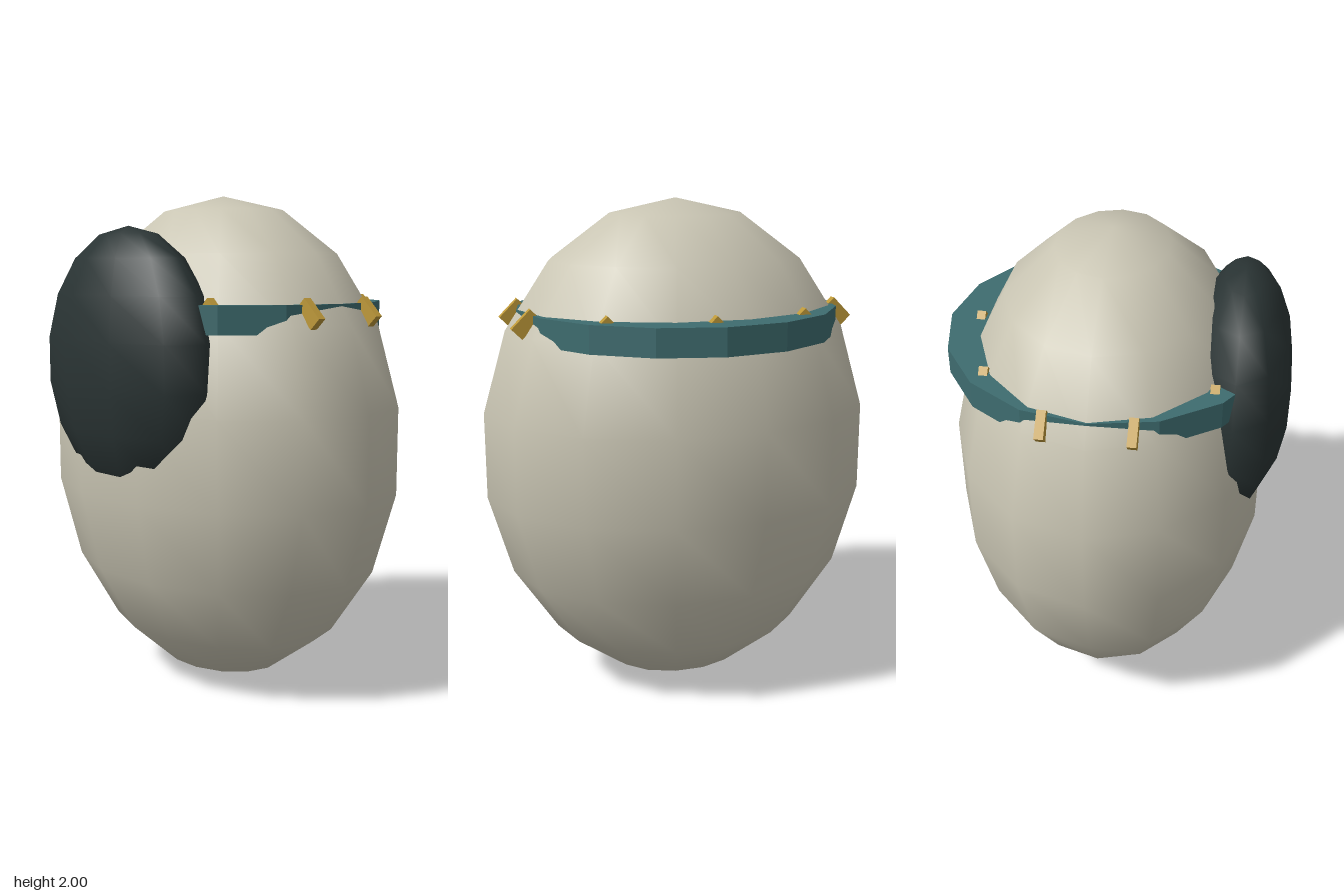
import * as THREE from 'three';

const material = (name, color, extra = {}) => {
  const m = new THREE.MeshStandardMaterial({ color, ...extra });
  m.name = name;
  return m;
};

export function createModel() {
  const cream = material('cream', 0xc9c5b3);
  const charcoal = material('charcoal', 0x2a3434);
  const teal = material('teal', 0x3e6c6f, { flatShading: true });
  const gold = material('gold', 0xbd9839, { flatShading: true });

  const group = new THREE.Group();
  const add = (name, geometry, mat, x, y, z) => {
    const mesh = new THREE.Mesh(geometry, mat);
    mesh.name = name;
    mesh.position.set(x, y, z);
    group.add(mesh);
    return mesh;
  };

  // Stretched low-poly sphere with a column of vertices at the front and back
  const ellipsoid = (rx, ry, rz, sides) =>
    new THREE.SphereGeometry(1, sides, 9).rotateY(Math.PI / 2).scale(rx, ry, rz);

  const cx = 0.025;
  add('eggBody', ellipsoid(0.635, 1, 0.8, 14), cream, cx, 1, 0);
  add('sidePatch', ellipsoid(0.219, 0.52, 0.447, 10), charcoal, -0.47, 1.35, 0);

  // Band around the upper body
  add('band', new THREE.CylinderGeometry(0.645, 0.645, 0.107, 16), teal, cx, 1.526, 0);

  // Ten studs spaced around the band, leaning outward to front and back
  const studGeometry = new THREE.BoxGeometry(0.034, 0.104, 0.057);
  for (let i = 0; i < 10; i++) {
    const a = (i * Math.PI) / 5;
    const z = 0.65 * Math.sin(a);
    const lean = Math.abs(z) < 0.01 ? 0 : Math.sign(z);
    const stud = add('stud', studGeometry, gold,
      cx + 0.523 * Math.cos(a), 1.547, z + lean * 0.017);
    stud.rotation.x = lean < 0 ? Math.PI / 4 : -Math.PI / 4;
    if (lean === 0) stud.position.z = 0.017;
  }
  return group;
}
